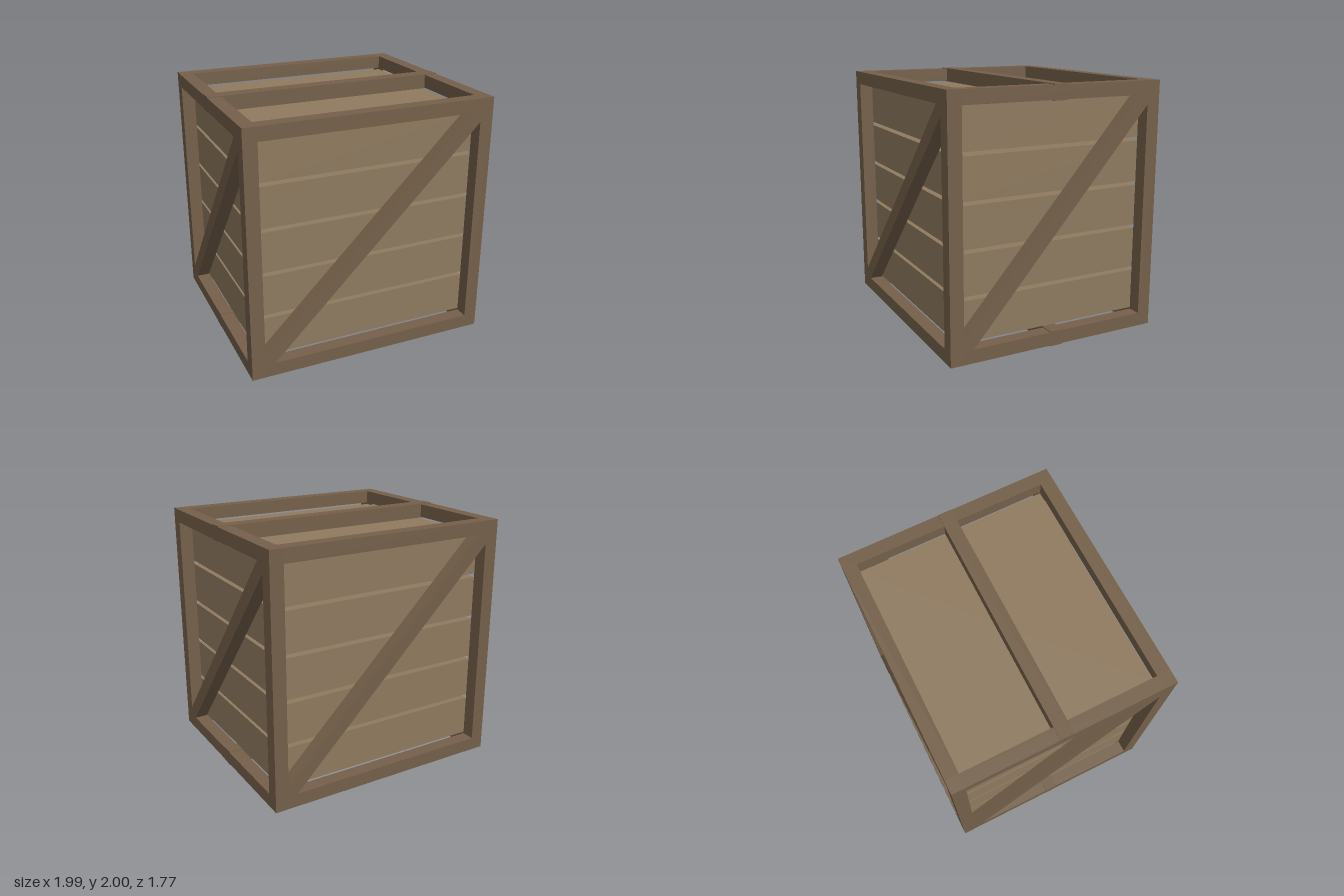
import * as THREE from 'three';

const X = 0.995, Z = 0.887, Y0 = 0.006, Y1 = 1.994; // outer frame limits
const T = 0.108;                                    // timber thickness
const XI = X - T, ZI = Z - T, YB = Y0 + T, YT = Y1 - T; // inner limits

const frameMat = new THREE.MeshStandardMaterial({ color: 0x75604a, flatShading: true });
const plankMat = new THREE.MeshStandardMaterial({ color: 0x8f7a5f, flatShading: true });

function box(parent, name, size, pos, mat = frameMat) {
  const mesh = new THREE.Mesh(new THREE.BoxGeometry(...size), mat);
  mesh.name = name;
  mesh.position.set(...pos);
  parent.add(mesh);
}

// Diagonal brace filling an opening of half width w, ends cut to fit the corners
function braceGeometry(w) {
  const cut = 0.077;
  const shape = new THREE.Shape([
    [-w, YB], [-w + cut, YB], [w, YT - cut], [w, YT], [w - cut, YT], [-w, YB + cut],
  ].map(([x, y]) => new THREE.Vector2(x, y)));
  return new THREE.ExtrudeGeometry(shape, { depth: T, bevelEnabled: false });
}

export function createModel() {
  const crate = new THREE.Group();
  crate.name = 'crate';

  // Five stacked plank layers separated by narrow gaps
  const planks = new THREE.Group();
  planks.name = 'planks';
  const plankH = 0.325, pitch = 0.355;
  for (let i = 0; i < 5; i++) {
    box(planks, 'plankLayer', [2 * XI, plankH, 2 * ZI], [0, 1 + (i - 2) * pitch, 0], plankMat);
  }
  crate.add(planks);

  // Corner posts and the rails between them
  const frame = new THREE.Group();
  frame.name = 'frame';
  for (const sx of [-1, 1]) {
    for (const sz of [-1, 1]) {
      box(frame, 'cornerPost', [T, Y1 - Y0, T], [sx * (X - T / 2), 1, sz * (Z - T / 2)]);
    }
  }
  for (const y of [Y0 + T / 2, Y1 - T / 2]) {
    for (const s of [-1, 1]) {
      box(frame, 'longRail', [2 * XI, T, T], [0, y, s * (Z - T / 2)]);
      box(frame, 'shortRail', [T, T, 2 * ZI], [s * (X - T / 2), y, 0]);
    }
  }
  crate.add(frame);

  // Middle beams across the top and bottom, slightly proud of the frame
  const beamH = T + 0.012;
  box(crate, 'topBeam', [2 * X, beamH, 0.11], [0, 2 - beamH / 2, 0]);
  box(crate, 'bottomBeam', [2 * X, beamH, 0.11], [0, beamH / 2, 0]);

  // One diagonal brace on each of the four sides
  for (let i = 0; i < 4; i++) {
    const onSide = i % 2 === 1;
    const pivot = new THREE.Group();
    pivot.name = 'braceSide';
    pivot.rotation.y = i * Math.PI / 2;
    const brace = new THREE.Mesh(braceGeometry(onSide ? ZI : XI), frameMat);
    brace.name = 'diagonalBrace';
    brace.position.z = onSide ? XI : ZI;
    pivot.add(brace);
    crate.add(pivot);
  }
  return crate;
}
